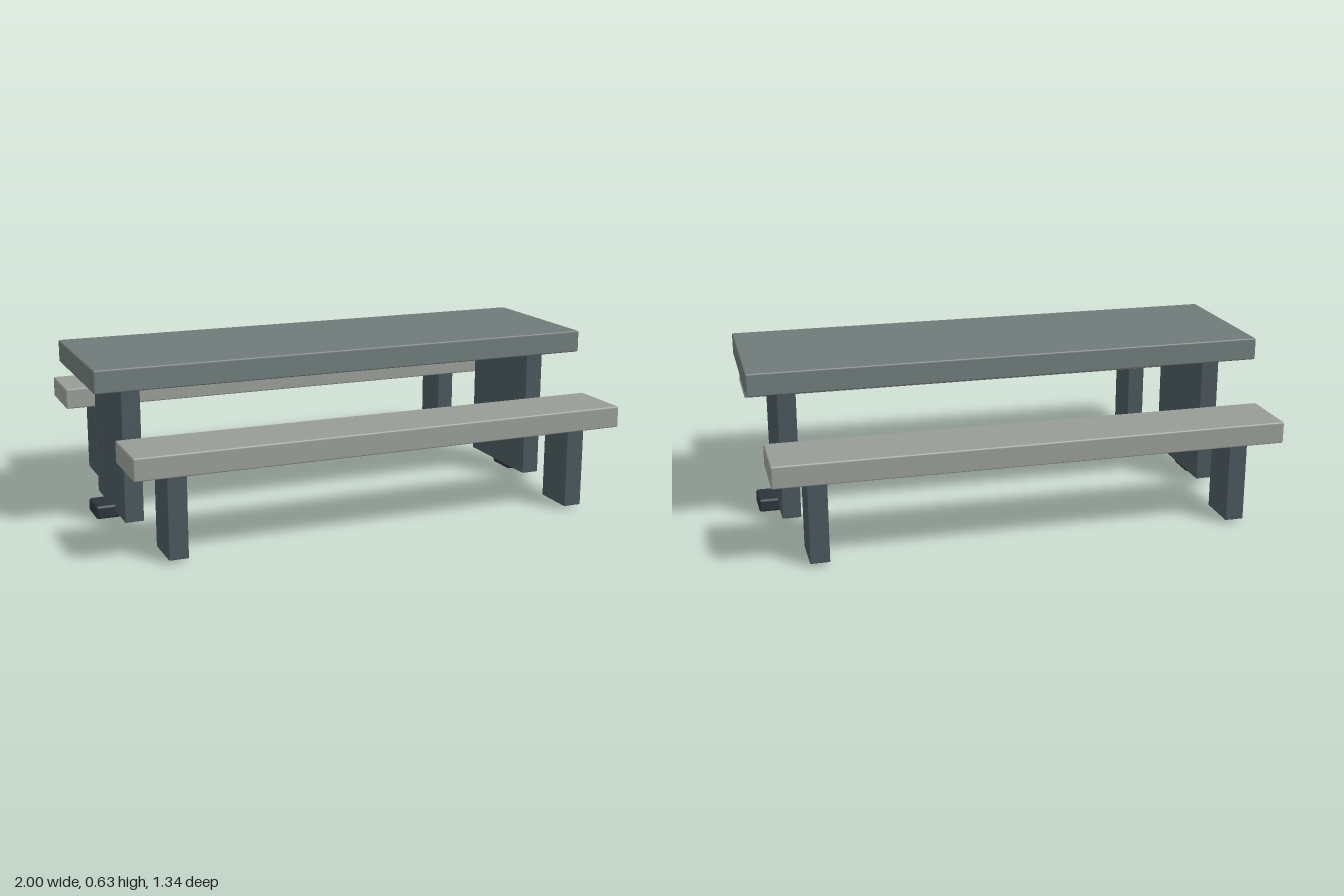
import * as THREE from 'three';
import { RoundedBoxGeometry } from 'three/addons/geometries/RoundedBoxGeometry.js';

const material = (name, color) => {
  const m = new THREE.MeshStandardMaterial({ color });
  m.name = name;
  return m;
};

export function createModel() {
  const group = new THREE.Group();
  const tableGrey = material('tableGrey', 0x6f7b79);
  const benchGrey = material('benchGrey', 0x989c96);
  const legSlate = material('legSlate', 0x4a575c);
  const footDark = material('footDark', 0x2c353c);

  // Slightly eased block given by its min and max corners
  const block = (name, mat, [x0, y0, z0], [x1, y1, z1], bevel) => {
    const geo = new RoundedBoxGeometry(x1 - x0, y1 - y0, z1 - z0, 1, bevel);
    const mesh = new THREE.Mesh(geo, mat);
    mesh.position.set((x0 + x1) / 2, (y0 + y1) / 2, (z0 + z1) / 2);
    mesh.name = name;
    group.add(mesh);
    return mesh;
  };

  block('tableTop', tableGrey, [-1, 0.548, -0.306], [1, 0.635, 0.306], 0.006);

  // Slab supports, each with a small foot poking out at the end
  for (const [side, s] of [['left', 1], ['right', -1]]) {
    const support = block(side + 'Support', legSlate, [0.812, 0.027, -0.218], [0.884, 0.55, 0.218], 0.003);
    const foot = block(side + 'Foot', footDark, [0.83, 0, -0.065], [0.958, 0.052, 0.065], 0.01);
    support.position.x *= s;
    foot.position.x *= s;
  }

  // Benches with two legs each
  for (const [end, k] of [['front', 1], ['back', -1]]) {
    const seat = block(end + 'BenchSeat', benchGrey, [-0.958, 0.323, 0.418], [0.958, 0.406, 0.67], 0.006);
    seat.position.z *= k;
    for (const [side, s] of [['Left', 1], ['Right', -1]]) {
      const leg = block(end + side + 'BenchLeg', legSlate, [0.76, 0.012, 0.463], [0.832, 0.33, 0.626], 0.003);
      leg.position.x *= s;
      leg.position.z *= k;
    }
  }
  return group;
}
